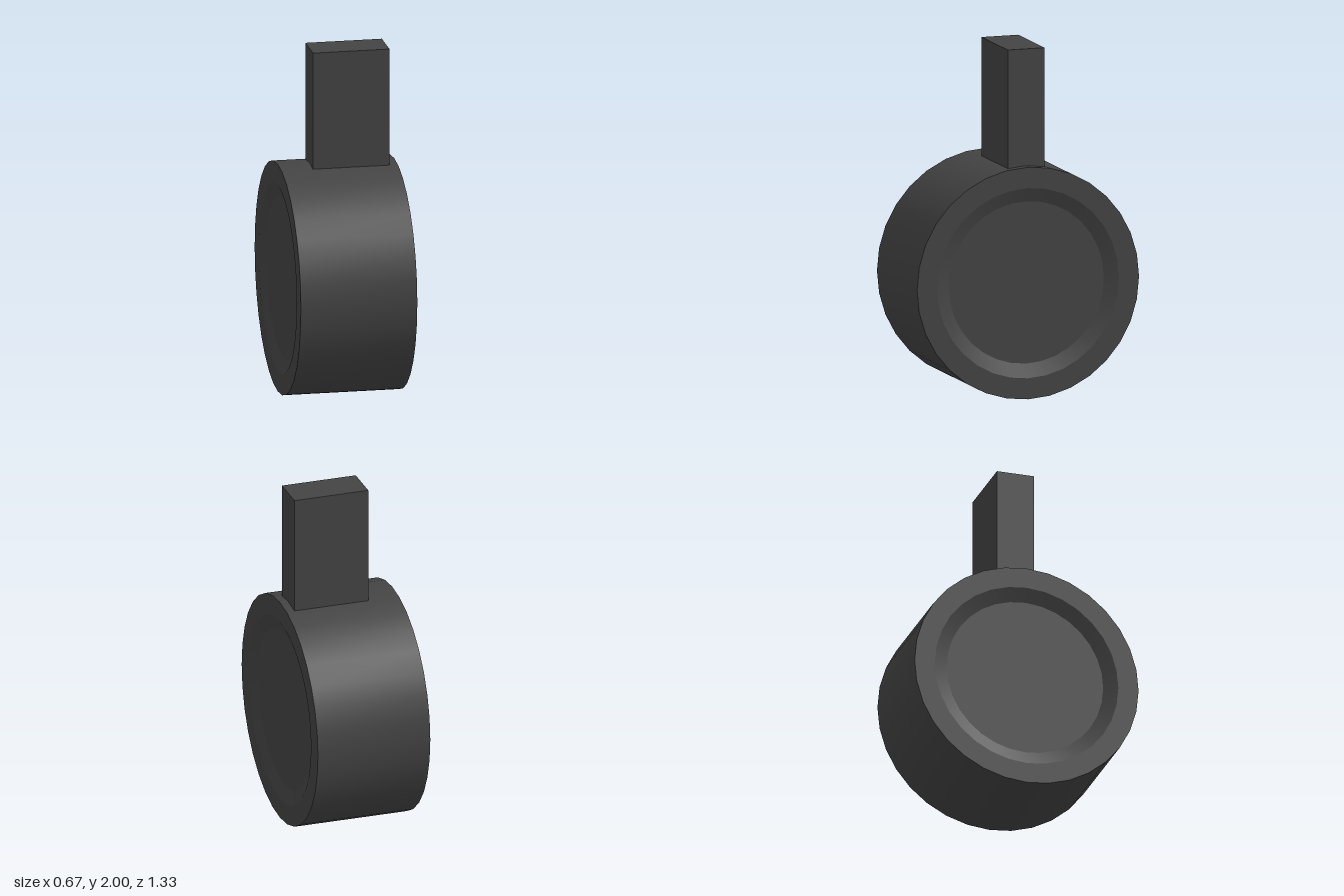
import * as THREE from 'three';
import { toCreasedNormals } from 'three/addons/utils/BufferGeometryUtils.js';

export function createModel() {
  const model = new THREE.Group();
  const dark = new THREE.MeshStandardMaterial({ color: 0x444444 });

  // Drum lying along x, with a shallow bevelled recess in both end faces
  const radius = 0.665, half = 0.335, depth = 0.03;
  const side = [[0, half - depth], [0.465, half - depth], [0.545, half], [radius, half]];
  const profile = [
    ...side.map(([r, h]) => new THREE.Vector2(r, -h)),
    ...side.reverse().map(([r, h]) => new THREE.Vector2(r, h)),
  ];
  const drumGeometry = toCreasedNormals(new THREE.LatheGeometry(profile, 32), 0.3);
  drumGeometry.rotateZ(-Math.PI / 2);
  const drum = new THREE.Mesh(drumGeometry, dark);
  drum.name = 'drum';
  drum.position.y = radius;
  model.add(drum);

  // Upright block set into the top of the drum, slightly off centre
  const bottom = 1.25, top = 2;
  const block = new THREE.Mesh(new THREE.BoxGeometry(0.44, top - bottom, 0.22), dark);
  block.name = 'feedBlock';
  block.position.set(0.067, (top + bottom) / 2, -0.006);
  model.add(block);

  return model;
}
